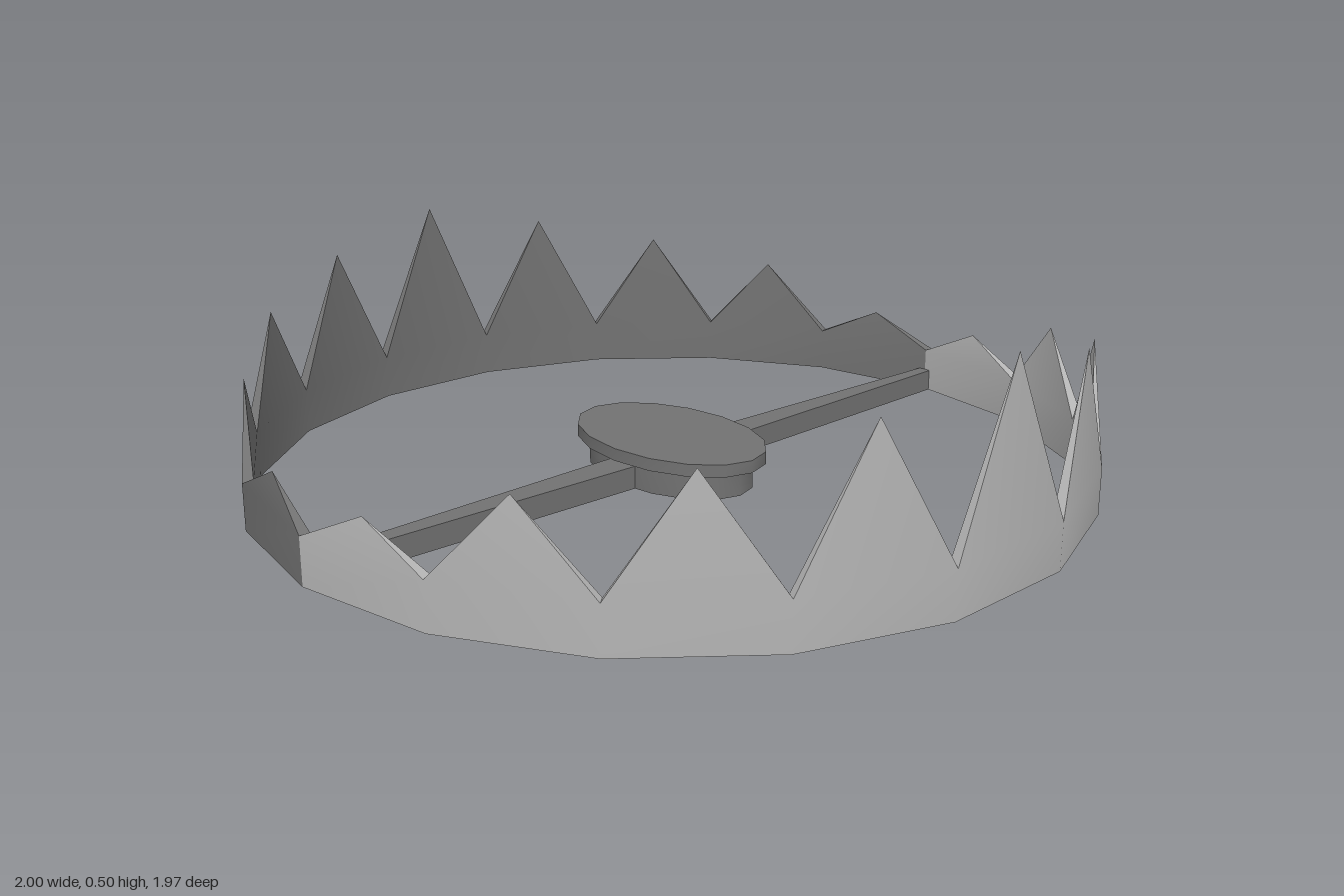
import * as THREE from 'three';
import { toCreasedNormals } from 'three/addons/utils/BufferGeometryUtils.js';

const lightSteel = new THREE.MeshStandardMaterial({ color: 0xb4b4b4 });
lightSteel.name = 'lightSteel';
const darkSteel = new THREE.MeshStandardMaterial({ color: 0x727272 });
darkSteel.name = 'darkSteel';

const SEGMENTS = 9;
const OUTER = 1, INNER = 0.975;
const VALLEY = 0.11;
const TIPS = [0.19, 0.295, 0.36, 0.43, 0.5]; // from the hinge to the middle

function mesh(name, geometry, material) {
  const m = new THREE.Mesh(geometry, material);
  m.name = name;
  return m;
}

// Half ring of flat segments, each rising to one pointed tooth
function jawGeometry() {
  const positions = [];
  const tri = (...pts) => pts.forEach((p) => positions.push(p.x, p.y, p.z));
  const quad = (a, b, c, d) => { tri(a, b, c); tri(a, c, d); };
  const at = (r, i, y) => {
    const a = (i * Math.PI) / SEGMENTS;
    return new THREE.Vector3(r * Math.cos(a), y, r * Math.sin(a));
  };
  for (let i = 0; i < SEGMENTS; i++) {
    const [ob0, ob1] = [at(OUTER, i, 0), at(OUTER, i + 1, 0)];
    const [ib0, ib1] = [at(INNER, i, 0), at(INNER, i + 1, 0)];
    const [ov0, ov1] = [at(OUTER, i, VALLEY), at(OUTER, i + 1, VALLEY)];
    const [iv0, iv1] = [at(INNER, i, VALLEY), at(INNER, i + 1, VALLEY)];
    const tip = ov0.clone().add(ov1).add(iv0).add(iv1).multiplyScalar(0.25);
    tip.y = TIPS[Math.min(i, SEGMENTS - 1 - i)];
    // band
    quad(ob1, ob0, ov0, ov1);
    quad(ib0, ib1, iv1, iv0);
    quad(ob0, ob1, ib1, ib0);
    // tooth
    tri(ov1, ov0, tip);
    tri(iv0, iv1, tip);
    tri(ov0, iv0, tip);
    tri(iv1, ov1, tip);
  }
  const g = new THREE.BufferGeometry();
  g.setAttribute('position', new THREE.Float32BufferAttribute(positions, 3));
  return toCreasedNormals(g, 0.5);
}

// Bar from the pan to the hinge, narrowing outwards
function barGeometry() {
  const x0 = 0.14, x1 = 0.98, h = 0.055;
  const g = new THREE.BoxGeometry(x1 - x0, h, 1);
  g.translate((x0 + x1) / 2, h / 2, 0);
  const p = g.attributes.position;
  for (let i = 0; i < p.count; i++) {
    const halfWidth = p.getX(i) > 0.5 ? 0.017 : 0.04;
    p.setZ(i, Math.sign(p.getZ(i)) * halfWidth);
  }
  g.computeVertexNormals();
  return g;
}

export function createModel() {
  const model = new THREE.Group();
  model.name = 'jawTrap';

  // Jaws
  const jaw = jawGeometry();
  const frontJaw = mesh('frontJaw', jaw, lightSteel);
  const backJaw = mesh('backJaw', jaw, darkSteel);
  backJaw.rotation.y = Math.PI;
  model.add(frontJaw, backJaw);

  // Cross bars
  const bar = barGeometry();
  const leftBar = mesh('leftBar', bar, darkSteel);
  const rightBar = mesh('rightBar', bar, darkSteel);
  rightBar.rotation.y = Math.PI;
  model.add(leftBar, rightBar);

  // Oval pan on a hollow collar
  const pan = new THREE.Group();
  pan.name = 'pan';
  const plate = new THREE.CylinderGeometry(1, 1, 0.03, 16);
  plate.scale(0.175, 1, 0.275);
  plate.translate(0, 0.08, 0);
  const profile = [[0.7, 0], [0.87, 0], [0.87, 0.066], [0.7, 0.066], [0.7, 0]]
    .map(([r, y]) => new THREE.Vector2(r, y));
  const collar = new THREE.LatheGeometry(profile, 16);
  collar.scale(0.175, 1, 0.275);
  pan.add(
    mesh('panPlate', toCreasedNormals(plate, 0.7), darkSteel),
    mesh('panCollar', toCreasedNormals(collar, 0.7), darkSteel),
  );
  model.add(pan);

  return model;
}
